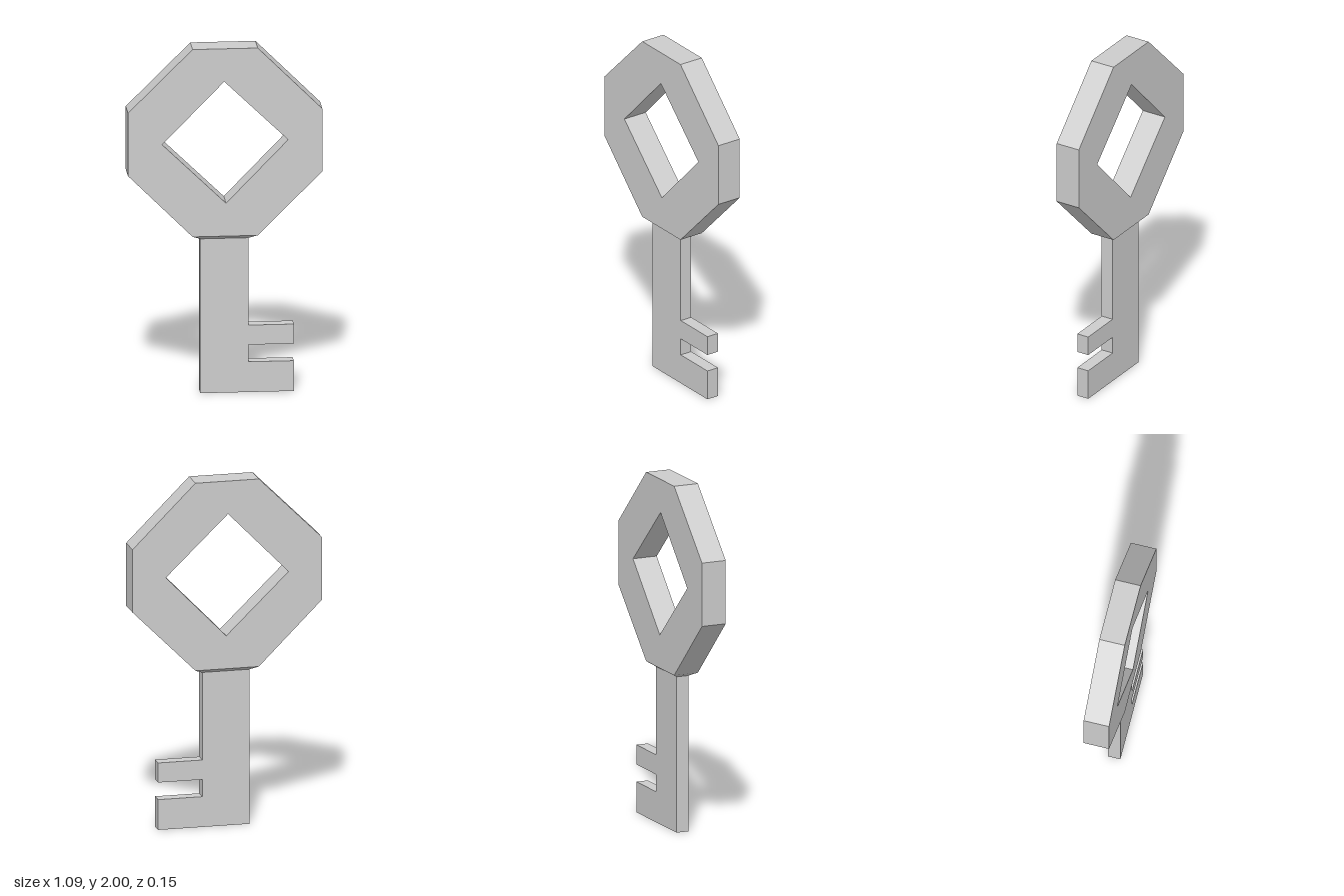
import * as THREE from 'three';

const grey = () => new THREE.MeshStandardMaterial({ color: 0xcccccc, flatShading: true });
const points = (list) => list.map(([x, y]) => new THREE.Vector2(x, y));

// Flat plate of the given depth, centred on z = 0
function plate(name, outline, depth, hole) {
  const shape = new THREE.Shape(points(outline));
  if (hole) shape.holes.push(new THREE.Path(points(hole)));
  const geometry = new THREE.ExtrudeGeometry(shape, { depth, bevelEnabled: false });
  geometry.translate(0, 0, -depth / 2);
  const mesh = new THREE.Mesh(geometry, grey());
  mesh.name = name;
  return mesh;
}

export function createModel() {
  const key = new THREE.Group();
  key.name = 'key';

  // Octagonal bow with a diamond opening
  key.add(plate('bow', [
    [-0.182, 0.916], [0.182, 0.916], [0.543, 1.277], [0.543, 1.64],
    [0.182, 2], [-0.182, 2], [-0.543, 1.64], [-0.543, 1.277],
  ], 0.146, [[-0.005, 1.81], [-0.352, 1.453], [0.005, 1.106], [0.352, 1.465]]));

  // Tapered collar from the bow down to the blade
  const top = 0.916, bottom = 0.893;
  const collarGeometry = new THREE.BoxGeometry(0.364, top - bottom, 0.146);
  const p = collarGeometry.attributes.position;
  for (let i = 0; i < p.count; i++) {
    if (p.getY(i) < 0) p.setXYZ(i, Math.sign(p.getX(i)) * 0.136, p.getY(i), Math.sign(p.getZ(i)) * 0.036);
  }
  const collar = new THREE.Mesh(collarGeometry, grey());
  collar.name = 'collar';
  collar.position.y = (top + bottom) / 2;
  key.add(collar);

  // Blade with two teeth
  key.add(plate('blade', [
    [-0.136, 0], [0.387, 0], [0.387, 0.175], [0.133, 0.175], [0.133, 0.274],
    [0.387, 0.274], [0.387, 0.387], [0.133, 0.387], [0.133, bottom], [-0.136, bottom],
  ], 0.072));

  return key;
}
